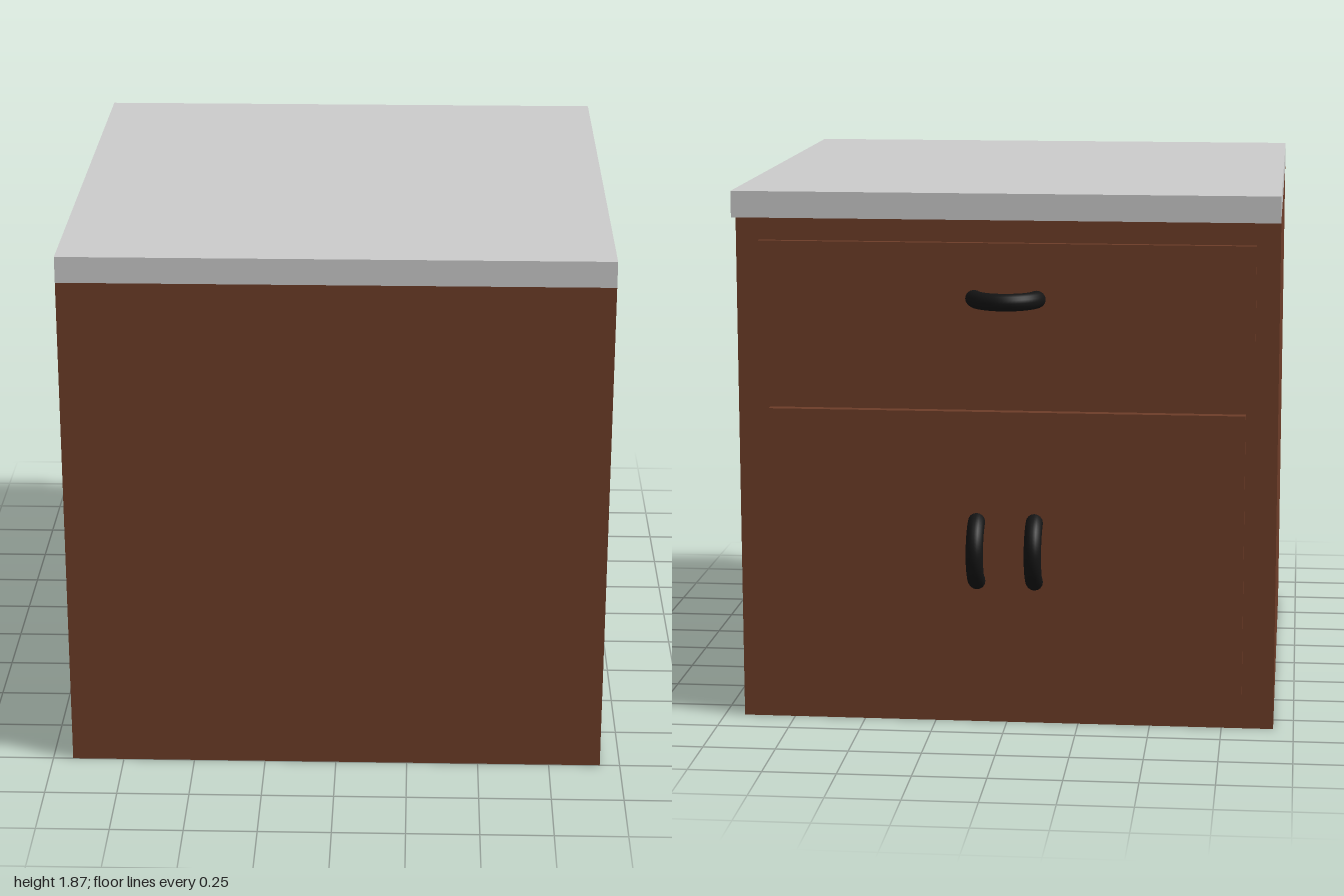
import * as THREE from 'three';

export function createModel() {
  const group = new THREE.Group();
  const wood = new THREE.MeshStandardMaterial({ color: 0x6d3d28 });
  const stone = new THREE.MeshStandardMaterial({ color: 0xcccccc });
  const black = new THREE.MeshStandardMaterial({ color: 0x141414 });

  // Box given by its half width and its y and z limits
  function box(name, halfWidth, y0, y1, z0, z1, material) {
    const mesh = new THREE.Mesh(new THREE.BoxGeometry(halfWidth * 2, y1 - y0, z1 - z0), material);
    mesh.name = name;
    mesh.position.set(0, (y0 + y1) / 2, (z0 + z1) / 2);
    group.add(mesh);
  }

  box('cabinetBody', 0.93, 0, 1.775, -0.86, 1, wood);
  box('countertop', 0.93, 1.775, 1.865, -0.94, 1, stone);
  box('drawerPanel', 0.85, 1.33, 1.69, -0.885, -0.85, wood);
  box('doorPanel', 0.82, 0.125, 1.11, -0.895, -0.85, wood);

  // Half-ring pulls, bowing out towards -z with their ends sunk in the panels
  const pull = new THREE.TorusGeometry(0.11, 0.03, 16, 32, Math.PI);
  pull.rotateX(-Math.PI / 2);
  function handle(name, x, y, roll) {
    const mesh = new THREE.Mesh(pull, black);
    mesh.name = name;
    mesh.position.set(x, y, -0.86);
    mesh.rotation.z = roll;
    group.add(mesh);
  }

  handle('drawerHandle', 0, 1.5, 0);
  handle('leftDoorHandle', 0.1, 0.62, Math.PI / 2);
  handle('rightDoorHandle', -0.1, 0.62, Math.PI / 2);

  return group;
}
